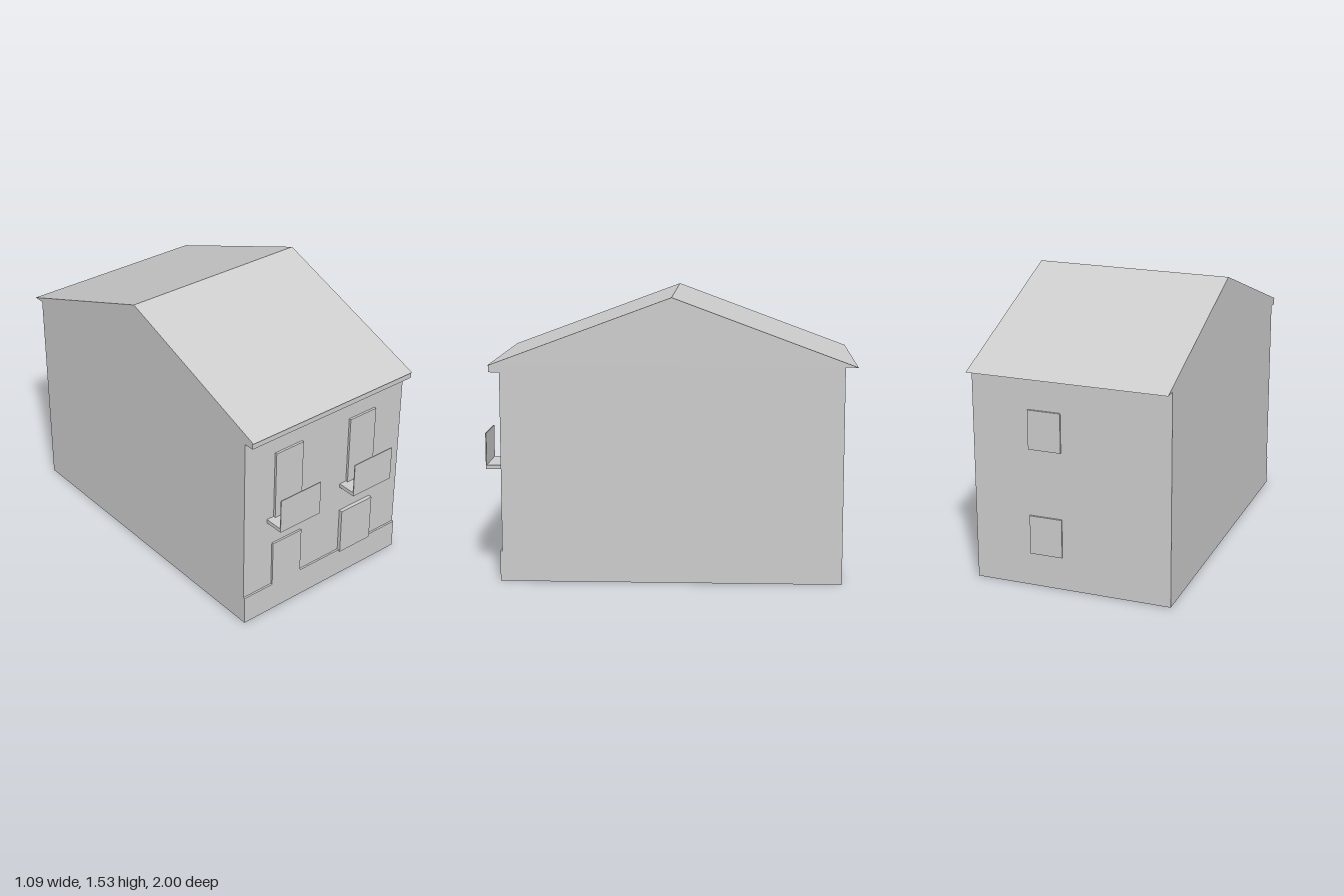
import * as THREE from 'three';

const WIDTH = 1.09;

export function createModel() {
  const model = new THREE.Group();
  model.name = 'house';
  const grey = new THREE.MeshStandardMaterial({ color: 0xcccccc });
  grey.name = 'plain grey';

  // Box given by its extents on each axis
  function box(name, [x0, x1], [y0, y1], [z0, z1], parent = model) {
    const geometry = new THREE.BoxGeometry(x1 - x0, y1 - y0, z1 - z0);
    geometry.translate((x0 + x1) / 2, (y0 + y1) / 2, (z0 + z1) / 2);
    const mesh = new THREE.Mesh(geometry, grey);
    mesh.name = name;
    parent.add(mesh);
    return mesh;
  }

  // Side profile of [z, y] points, extended across the full width
  function prism(name, points) {
    const shape = new THREE.Shape(points.map(([z, y]) => new THREE.Vector2(z, y)));
    const geometry = new THREE.ExtrudeGeometry(shape, { depth: WIDTH, bevelEnabled: false });
    geometry.translate(0, 0, -WIDTH / 2);
    geometry.rotateY(-Math.PI / 2);
    const mesh = new THREE.Mesh(geometry, grey);
    mesh.name = name;
    model.add(mesh);
  }

  const half = WIDTH / 2;
  const front = 0.893;
  const back = -0.928;
  const eave = 1.168;

  // Main volume, gabled roof and front eave board
  box('walls', [-half, half], [0, eave], [back, front]);
  prism('roof', [[0.957, eave], [-0.018, 1.53], [-0.995, eave]]);
  box('eaveBoard', [-half, half], [1.133, eave], [front, 0.95]);

  // Plinth, broken by the flush front door
  box('plinthRight', [-half, -0.355], [0, 0.165], [front, 0.904]);
  box('plinthLeft', [-0.158, half], [0, 0.165], [front, 0.904]);
  box('frontDoor', [-0.355, -0.158], [0, 0.435], [front, 0.904]);
  box('frontWindow', [0.125, 0.345], [0.157, 0.428], [front, 0.914]);

  // Upper floor balconies with their doors
  for (const x of [-0.256, 0.254]) {
    const balcony = new THREE.Group();
    balcony.name = x > 0 ? 'balconyLeft' : 'balconyRight';
    box('balconyDoor', [x - 0.091, x + 0.091], [0.604, 1.0], [front, 0.906], balcony);
    box('balconySlab', [x - 0.135, x + 0.135], [0.582, 0.604], [front, 1.0], balcony);
    box('balconyPanel', [x - 0.135, x + 0.135], [0.604, 0.78], [0.995, 1.0], balcony);
    model.add(balcony);
  }

  // Rear windows, one above the other
  for (const y of [0.185, 0.77]) {
    box('rearWindow', [0.054, 0.234], [y, y + 0.215], [-0.938, back]);
  }

  return model;
}
